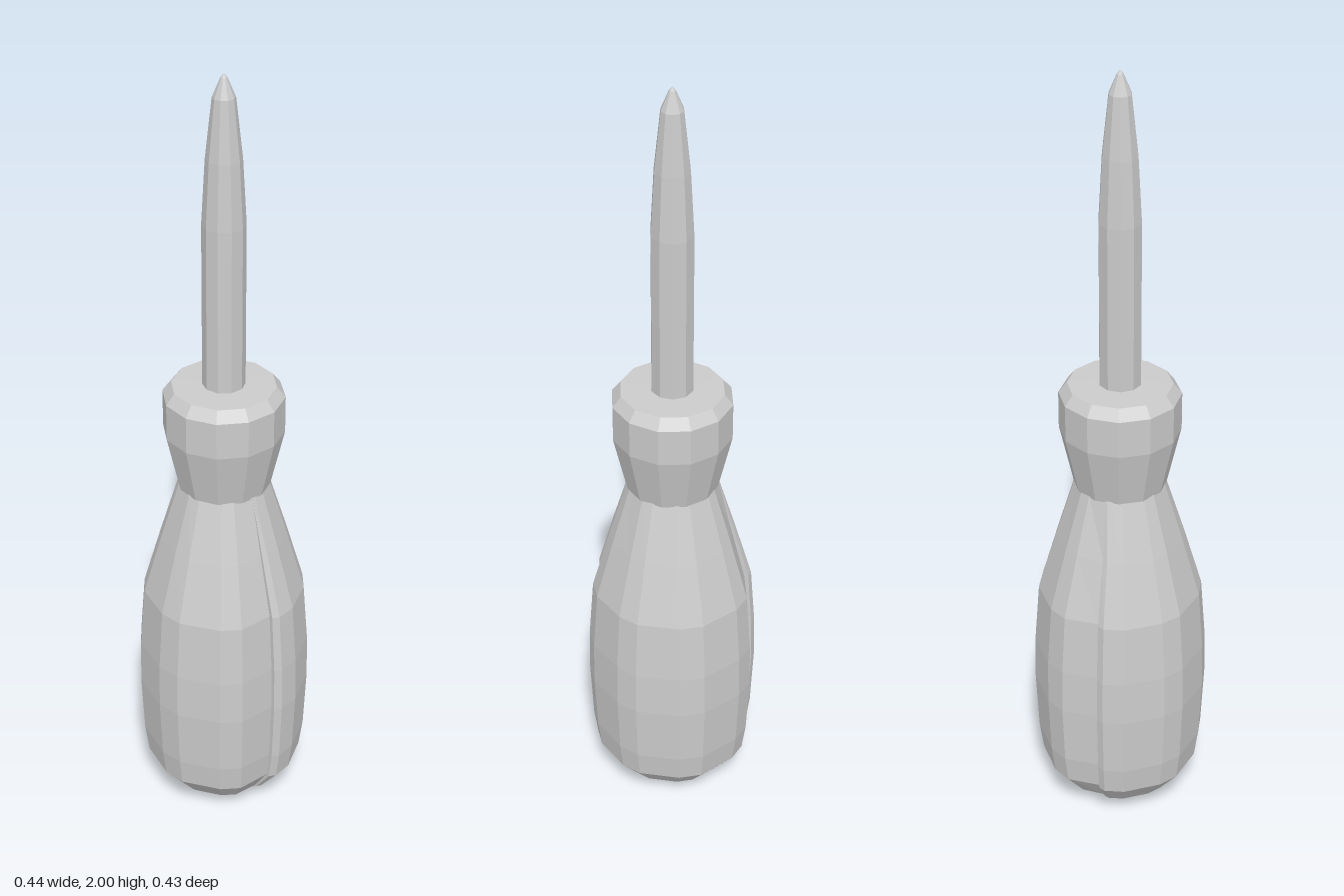
import * as THREE from 'three';

const material = new THREE.MeshStandardMaterial({ color: 0xcccccc, flatShading: true, side: THREE.DoubleSide });

// Low-poly turned part from [radius, y] pairs, bottom to top
function turned(name, profile, sides, phase) {
  const points = profile.map(([r, y]) => new THREE.Vector2(r, y));
  const mesh = new THREE.Mesh(new THREE.LatheGeometry(points, sides, phase), material);
  mesh.name = name;
  return mesh;
}

// Half of the grip outline [x, z]; the other half is the same turned 180 degrees,
// which leaves a small radial step along each seam
const half = [
  [0, 0.208], [0.018, 0.217], [0.072, 0.206], [0.16, 0.147], [0.195, 0.1],
  [0.218, -0.012], [0.208, -0.075], [0.143, -0.167], [0.095, -0.198], [0, -0.197],
];
const outline = [...half, ...half.map(([x, z]) => [-x, -z])];

// Grip rings: [radius, y, strength of the seam step]
const rings = [
  [0.085, 0.01, 0.6], [0.145, 0.055, 0.8], [0.2, 0.125, 1], [0.21, 0.2, 1], [0.217, 0.36, 1],
  [0.215, 0.48, 1], [0.203, 0.64, 1], [0.158, 0.8, 0.8], [0.112, 0.955, 0],
];

function gripGeometry() {
  const n = outline.length;
  const positions = [];
  const indices = [];
  for (const [r, y, step] of rings) {
    for (const [x, z] of outline) {
      const length = Math.hypot(x, z);
      const s = r * ((1 - step) / length + step / 0.217);
      positions.push(x * s, y, z * s);
    }
  }
  for (let i = 0; i < rings.length - 1; i++) {
    for (let j = 0; j < n; j++) {
      const a = i * n + j;
      const b = i * n + (j + 1) % n;
      indices.push(a, b, a + n, b, b + n, a + n);
    }
  }
  // Closed butt end
  const centre = positions.length / 3;
  positions.push(0, 0, 0);
  for (let j = 0; j < n; j++) indices.push(centre, (j + 1) % n, j);

  const geometry = new THREE.BufferGeometry();
  geometry.setAttribute('position', new THREE.Float32BufferAttribute(positions, 3));
  geometry.setIndex(indices);
  geometry.computeVertexNormals();
  return geometry;
}

export function createModel() {
  const group = new THREE.Group();
  group.name = 'screwdriver';

  const grip = new THREE.Mesh(gripGeometry(), material);
  grip.name = 'grip';
  group.add(grip);

  // Flared collar with a chamfered flat top
  group.add(turned('collar', [
    [0.115, 0.95], [0.149, 1.1], [0.149, 1.195], [0.128, 1.222], [0, 1.225],
  ], 12, Math.PI / 12));

  // Steel shaft tapering to a point
  group.add(turned('shaft', [
    [0.052, 1.2], [0.052, 1.64], [0.043, 1.8], [0.027, 1.945], [0.008, 1.99], [0, 2],
  ], 10, Math.PI / 10));

  return group;
}
